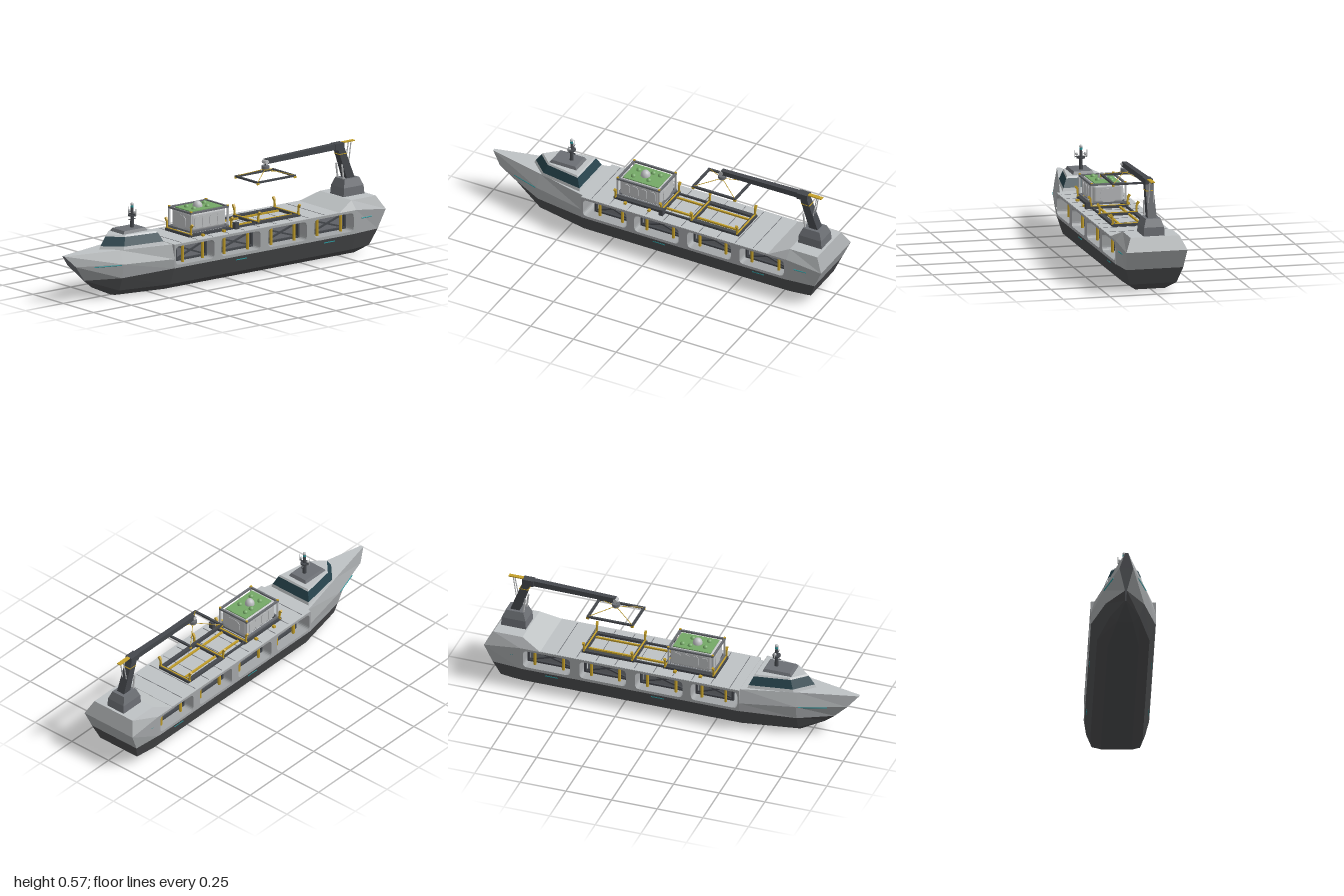
import * as THREE from 'three';
import { RoundedBoxGeometry } from 'three/addons/geometries/RoundedBoxGeometry.js';

const material = (name, color) => Object.assign(new THREE.MeshStandardMaterial({ color }), { name });
const M = {
  hull: material('hull grey', 0xa3a6a8),
  deck: material('deck grey', 0xbec2c4),
  bottom: material('bottom paint', 0x4a4b4d),
  dark: material('dark steel', 0x44474c),
  mid: material('mid grey', 0x6c6f74),
  light: material('light grey', 0xbcbec0),
  yellow: material('safety yellow', 0xc4a02a),
  teal: material('teal marker', 0x2a979c),
  glass: material('bridge glass', 0x25424b),
  green: material('roof green', 0x74a866),
};
const V = (p) => new THREE.Vector3(...p);

function add(parent, name, geo, mat, pos = [0, 0, 0]) {
  const m = new THREE.Mesh(geo, mat);
  m.name = name;
  m.position.set(...pos);
  parent.add(m);
  return m;
}
const box = (g, name, mat, size, pos) => add(g, name, new THREE.BoxGeometry(...size), mat, pos);

// Bar between two points: square (4 sides) or round
function bar(g, name, mat, a, b, r, r2 = r, sides = 8) {
  const A = V(a), B = V(b), d = B.clone().sub(A);
  const geo = new THREE.CylinderGeometry(r2, r, d.length(), sides);
  if (sides === 4) geo.rotateY(Math.PI / 4);
  const m = add(g, name, sides < 6 ? geo.toNonIndexed() : geo, mat);
  if (sides < 6) m.geometry.computeVertexNormals();
  m.position.copy(A).add(B).multiplyScalar(0.5);
  m.quaternion.setFromUnitVectors(new THREE.Vector3(0, 1, 0), d.normalize());
  return m;
}

// Flat-shaded geometry from four-cornered faces
function faces(quads) {
  const pos = [];
  for (const [a, b, c, d] of quads) pos.push(...a, ...b, ...c, ...a, ...c, ...d);
  const geo = new THREE.BufferGeometry();
  geo.setAttribute('position', new THREE.Float32BufferAttribute(pos, 3));
  geo.computeVertexNormals();
  return geo;
}

// Mirrored skin over stations (stern to bow), rows r0..r1 running keel to deck
const flip = (p) => [-p[0], p[1], p[2]];
function skin(stations, r0, r1) {
  const quads = [];
  for (let r = r0; r < r1; r++) {
    for (let s = 0; s < stations.length - 1; s++) {
      const a = stations[s], b = stations[s + 1];
      quads.push([a[r], a[r + 1], b[r + 1], b[r]]);
      quads.push([b[r], b[r + 1], a[r + 1], a[r]].map(flip));
    }
  }
  return faces(quads);
}

// End plate across one station, facing forward or aft
function endPlate(st, r0, r1, forward) {
  const quads = [];
  for (let r = r0; r < r1; r++) {
    const q = [flip(st[r]), st[r], st[r + 1], flip(st[r + 1])];
    quads.push(forward ? q : q.reverse());
  }
  return faces(quads);
}

// Stack of scaled outlines [x, z] at heights; levels are [y, scale]
function tier(outline, cz, levels) {
  const quads = [], n = outline.length;
  const P = (i, [y, s]) => [outline[i % n][0] * s, y, cz + (outline[i % n][1] - cz) * s];
  for (let i = 0; i < n; i++) {
    for (let k = 0; k < levels.length - 1; k++)
      quads.push([P(i, levels[k]), P(i + 1, levels[k]), P(i + 1, levels[k + 1]), P(i, levels[k + 1])]);
    const top = levels[levels.length - 1], c = [0, top[0], cz];
    quads.push([c, P(i, top), P(i + 1, top), c]);
  }
  return faces(quads);
}

function roundRect(path, x0, y0, x1, y1, r) {
  path.moveTo(x0 + r, y0).lineTo(x1 - r, y0).quadraticCurveTo(x1, y0, x1, y0 + r);
  path.lineTo(x1, y1 - r).quadraticCurveTo(x1, y1, x1 - r, y1);
  path.lineTo(x0 + r, y1).quadraticCurveTo(x0, y1, x0, y1 - r);
  path.lineTo(x0, y0 + r).quadraticCurveTo(x0, y0, x0 + r, y0);
  return path;
}

const BAYS = [[0.135, 0.39], [-0.17, 0.09], [-0.475, -0.22], [-0.785, -0.525]];

function buildHull(g) {
  const section = (z, top) => [[0, 0, z], [0.08, 0, z], [0.135, 0.035, z], [0.166, 0.125, z], ...top];
  const stern = [[0, 0, -0.86], [0.08, 0, -0.86], [0.125, 0.04, -0.92], [0.152, 0.125, -0.955],
    [0.163, 0.225, -1], [0.13, 0.295, -0.96], [0, 0.295, -0.96]];
  const poop = section(-0.8, [[0.168, 0.25, -0.8], [0.13, 0.295, -0.8], [0, 0.295, -0.8]]);
  const fore = section(0.4, [[0.17, 0.175, 0.4], [0.15, 0.25, 0.4], [0, 0.25, 0.4]]);
  const bow = [[0, 0, 0.69], [0.04, 0.005, 0.69], [0.075, 0.035, 0.69], [0.1, 0.105, 0.69],
    [0.112, 0.18, 0.69], [0.08, 0.25, 0.69], [0, 0.25, 0.69]];
  const stem = [[0, 0.055, 0.81], [0.003, 0.057, 0.812], [0.004, 0.063, 0.82], [0.005, 0.1, 0.865],
    [0.036, 0.19, 0.945], [0.008, 0.25, 1], [0, 0.25, 1]];
  const rise = [0.168, 0.168, 0].map((x) => [x, 0.25, -0.69]);
  add(g, 'bottomHull', skin([stern, poop, fore, bow, stem], 0, 3), M.bottom);
  add(g, 'bottomTransom', endPlate(stern, 0, 3, false), M.bottom);
  add(g, 'bottomStem', endPlate(stem, 0, 2, true), M.bottom);
  add(g, 'sternHull', skin([stern, poop], 3, 5), M.hull);
  add(g, 'transom', endPlate(stern, 3, 6, false), M.hull);
  add(g, 'sternDeck', skin([stern, poop], 5, 6), M.deck);
  add(g, 'sternRise', skin([poop.slice(4), rise], 0, 1), M.hull);
  add(g, 'sternRamp', skin([poop.slice(4), rise], 1, 2), M.deck);
  add(g, 'bowHull', skin([fore, bow, stem], 3, 5), M.hull);
  add(g, 'foredeck', skin([fore, bow, stem], 5, 6), M.deck);
  add(g, 'stemPlate', endPlate(stem, 2, 5, true), M.mid);

  // Midship block with open cargo bays running through it
  const side = new THREE.Shape([[-0.8, 0.125], [0.4, 0.125], [0.4, 0.25], [-0.8, 0.25]].map((p) => new THREE.Vector2(...p)));
  for (const [a, b] of BAYS) side.holes.push(roundRect(new THREE.Path(), a, 0.14, b, 0.238, 0.025));
  const geo = new THREE.ExtrudeGeometry(side, { depth: 0.336, bevelEnabled: false, curveSegments: 5 });
  geo.rotateY(-Math.PI / 2).translate(0.168, 0, 0);
  add(g, 'midshipBlock', geo, M.hull);

  // Main deck, seams and marker lights
  box(g, 'mainDeck', M.deck, [0.334, 0.003, 1.09], [0, 0.2505, -0.145]);
  for (let i = 0; i < 10; i++) box(g, 'deckSeam', M.mid, [0.31, 0.002, 0.003], [0, 0.2522, -0.6 + i * 0.105]);
  for (const s of [1, -1]) {
    bar(g, 'bowMarker', M.teal, [s * 0.108, 0.177, 0.7], [s * 0.064, 0.179, 0.845], 0.003);
    bar(g, 'sternMarker', M.teal, [s * 0.164, 0.2, -0.84], [s * 0.16, 0.2, -0.91], 0.003);
    for (const mz of [-0.05, -0.63]) box(g, 'hullMarker', M.teal, [0.004, 0.005, 0.07], [s * 0.159, 0.105, mz]);
  }
}

function buildBays(g) {
  BAYS.forEach(([a, b], i) => {
    const z0 = a + 0.012, z1 = b - (i === 0 ? 0.045 : 0.012), zc = (z0 + z1) / 2, w = z1 - z0;
    box(g, 'cargoCrate', M.mid, [0.2, 0.075, w - 0.02], [0, 0.188, zc]);
    for (const s of [1, -1]) {
      const x = s * 0.105;
      for (const y of [0.15, 0.228]) box(g, 'cageRail', M.dark, [0.018, 0.01, w], [x, y, zc]);
      for (const z of [z0, z1]) box(g, 'cagePost', M.dark, [0.018, 0.088, 0.01], [x, 0.189, z]);
      bar(g, 'cageBrace', M.dark, [x, 0.152, z0], [x, 0.226, z1], 0.006, 0.006, 4);
      bar(g, 'cageBrace', M.dark, [x, 0.226, z0], [x, 0.152, z1], 0.006, 0.006, 4);
      box(g, 'cageLight', M.teal, [0.004, 0.005, w * 0.45], [s * 0.116, 0.228, zc]);
      for (const z of [z0 + w * 0.17, z1 - w * 0.17])
        bar(g, 'bayPost', M.yellow, [s * 0.125, 0.14, z], [s * 0.125, 0.238, z], 0.008);
    }
  });
}

function buildBridge(g) {
  const plan = [[0, 0.755], [0.085, 0.665], [0.122, 0.435], [-0.122, 0.435], [-0.085, 0.665]];
  add(g, 'bridgeBase', tier(plan, 0.56, [[0.25, 1.04], [0.266, 1]]), M.deck);
  add(g, 'bridgeWindows', tier(plan, 0.56, [[0.266, 1], [0.312, 0.83]]), M.glass);
  add(g, 'bridgeRoof', tier(plan, 0.56, [[0.312, 0.83], [0.321, 0.78]]), M.deck);
  const top = [[0.058, 0.648], [0.058, 0.485], [-0.058, 0.485], [-0.058, 0.648]];
  add(g, 'roofHouse', tier(top, 0.565, [[0.318, 1], [0.336, 0.85]]), M.mid);
  // Sensor mast
  const z = 0.545;
  bar(g, 'mast', M.dark, [0, 0.33, z], [0, 0.44, z], 0.011, 0.007);
  bar(g, 'mastPlatform', M.dark, [0, 0.395, z], [0, 0.402, z], 0.022, 0.022, 12);
  bar(g, 'mastLight', M.teal, [0, 0.44, z], [0, 0.45, z], 0.008);
  add(g, 'mastDome', new THREE.SphereGeometry(0.009, 12, 8), M.light, [0, 0.457, z]);
  for (const s of [1, -1]) {
    bar(g, 'mastArm', M.dark, [0, 0.405, z], [s * 0.032, 0.405, z], 0.003);
    bar(g, 'mastAntenna', M.light, [s * 0.032, 0.4, z], [s * 0.032, 0.438, z], 0.002);
    bar(g, 'mastArm', M.dark, [0, 0.378, z], [0, 0.378, z + s * 0.022], 0.003);
    add(g, 'mastSensor', new THREE.SphereGeometry(0.008, 10, 8), M.light, [s * 0.023, 0.418, z]);
  }
}

// Rectangular ring of bars, t wide and h high
function ring(g, name, mat, hx, z0, z1, y, t, h = t) {
  for (const s of [1, -1]) box(g, name, mat, [t, h, z1 - z0 + t], [s * hx, y, (z0 + z1) / 2]);
  for (const z of [z0, z1]) box(g, name, mat, [2 * hx, h, t], [0, y, z]);
}

function buildDeckCargo(g) {
  // Deck cradles with guide posts
  for (const [z0, z1] of [[-0.03, 0.235], [-0.475, -0.21]]) {
    ring(g, 'cradle', M.dark, 0.09, z0, z1, 0.258, 0.022, 0.014);
    for (const z of [z0, z1]) {
      box(g, 'cradleStrip', M.yellow, [0.21, 0.006, 0.008], [0, 0.265, z]);
      for (const s of [1, -1]) {
        bar(g, 'guidePost', M.yellow, [s * 0.096, 0.255, z], [s * 0.1, 0.305, z], 0.006, 0.006, 4);
        bar(g, 'guideTip', M.yellow, [s * 0.099, 0.302, z], [s * 0.11, 0.318, z], 0.008, 0.008, 4);
      }
    }
  }
  for (const s of [1, -1]) {
    box(g, 'deckRail', M.yellow, [0.01, 0.01, 0.45], [s * 0.055, 0.256, -0.245]);
    box(g, 'sideRail', M.dark, [0.01, 0.01, 0.18], [s * 0.09, 0.257, -0.12]);
    for (const z of [0.03, 0.17]) box(g, 'deckLock', M.yellow, [0.016, 0.012, 0.014], [s * 0.116, 0.257, z]);
  }
  box(g, 'controlBox', M.dark, [0.024, 0.035, 0.024], [0.12, 0.275, -0.045]);

  // Habitat container with its open frame
  const zc = 0.105;
  add(g, 'container', new RoundedBoxGeometry(0.166, 0.104, 0.235, 3, 0.02), M.light, [0, 0.323, zc]);
  ring(g, 'containerFrame', M.mid, 0.09, -0.015, 0.228, 0.276, 0.01);
  ring(g, 'containerFrame', M.mid, 0.09, -0.015, 0.228, 0.375, 0.01);
  for (const s of [1, -1]) {
    for (const z of [-0.015, 0.228]) {
      box(g, 'framePost', M.light, [0.009, 0.1, 0.009], [s * 0.09, 0.326, z]);
      box(g, 'frameCap', M.yellow, [0.01, 0.006, 0.01], [s * 0.09, 0.382, z]);
    }
    for (let i = 0; i < 4; i++) {
      const arch = new THREE.ExtrudeGeometry(roundRect(new THREE.Shape(), -0.019, -0.035, 0.019, 0.03, 0.018), { depth: 0.003, bevelEnabled: false });
      add(g, 'sidePanel', arch, M.light, [s * 0.083, 0.322, zc - 0.075 + i * 0.05]).rotation.y = s * Math.PI / 2;
    }
    const door = new THREE.ExtrudeGeometry(roundRect(new THREE.Shape(), -0.042, -0.04, 0.042, 0.03, 0.03), { depth: 0.003, bevelEnabled: false });
    add(g, 'endPanel', door, M.light, [0, 0.32, zc + s * 0.1175]).rotation.y = s > 0 ? 0 : Math.PI;
  }
  box(g, 'greenRoof', M.green, [0.136, 0.006, 0.206], [0, 0.376, zc]);
  const dome = (name, mat, r, x, z, h) =>
    add(g, name, new THREE.SphereGeometry(r, 14, 6, 0, Math.PI * 2, 0, Math.PI / 2), mat, [x, 0.378, z]).scale.y = h;
  for (const [x, z] of [[-0.032, 0.042], [0.034, 0.075], [-0.035, 0.085], [-0.025, 0.165], [0.035, 0.165]])
    dome('greenDome', M.green, 0.014, x, z, 1.1);
  dome('roofDome', M.light, 0.026, 0, 0.113, 1.25);
}

function buildCrane(g) {
  const base = [[0.056, -0.808], [0.056, -0.945], [-0.056, -0.945], [-0.056, -0.808]];
  add(g, 'cranePedestal', tier(base, -0.877, [[0.294, 1], [0.34, 0.95], [0.382, 0.7]]), M.mid);
  bar(g, 'craneColumn', M.dark, [0, 0.36, -0.888], [0, 0.562, -0.815], 0.034, 0.028, 4);
  box(g, 'columnBand', M.yellow, [0.044, 0.004, 0.05], [0, 0.515, -0.832]);
  box(g, 'craneHead', M.dark, [0.042, 0.034, 0.06], [0, 0.556, -0.812]);
  bar(g, 'craneBoom', M.dark, [0, 0.557, -0.8], [0, 0.548, -0.335], 0.022, 0.018, 4);
  for (const s of [1, -1]) {
    bar(g, 'craneStrut', M.light, [s * 0.024, 0.36, -0.835], [s * 0.024, 0.46, -0.822], 0.005);
    bar(g, 'backStay', M.light, [s * 0.016, 0.37, -0.86], [s * 0.01, 0.568, -0.893], 0.003);
  }
  box(g, 'counterPlate', M.yellow, [0.022, 0.005, 0.08], [0, 0.571, -0.88]);
  // Hook block and spreader frame
  const z = -0.335;
  bar(g, 'boomPulley', M.light, [-0.016, 0.546, z], [0.016, 0.546, z], 0.011, 0.011, 12);
  bar(g, 'hoistRope', M.dark, [0, 0.515, z], [0, 0.548, z], 0.004);
  bar(g, 'hookBlock', M.mid, [0, 0.51, z], [0, 0.526, z], 0.021, 0.021, 12);
  bar(g, 'hookRing', M.yellow, [0, 0.504, z], [0, 0.51, z], 0.017, 0.017, 12);
  ring(g, 'spreaderFrame', M.dark, 0.088, z - 0.122, z + 0.122, 0.47, 0.013, 0.009);
  for (const sx of [1, -1]) for (const sz of [1, -1]) {
    bar(g, 'sling', M.yellow, [sx * 0.09, 0.472, z + sz * 0.122], [0, 0.508, z], 0.0018, 0.0018, 6);
    box(g, 'spreaderLock', M.yellow, [0.008, 0.011, 0.014], [sx * 0.091, 0.464, z + sz * 0.122]);
  }
}

export function createModel() {
  const ship = new THREE.Group();
  ship.name = 'supplyShip';
  const parts = { hull: buildHull, cargoBays: buildBays, bridge: buildBridge, deckCargo: buildDeckCargo, crane: buildCrane };
  for (const [name, build] of Object.entries(parts)) {
    const g = new THREE.Group();
    g.name = name;
    build(g);
    ship.add(g);
  }
  return ship;
}
